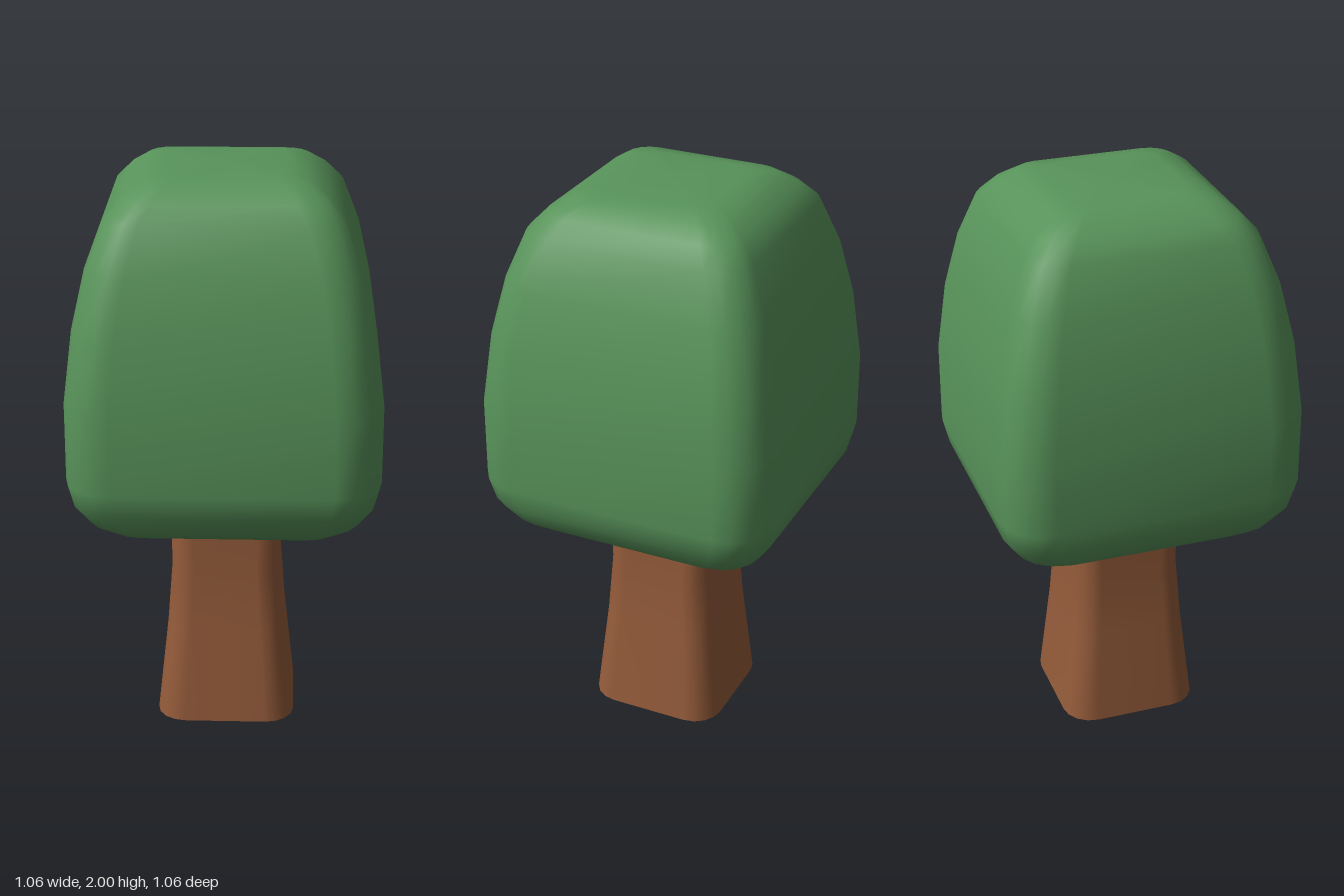
import * as THREE from 'three';

// Outline of a rounded square with half width 1, counter-clockwise seen from above
function roundedSquare(radius, steps) {
  const points = [];
  for (let corner = 0; corner < 4; corner++) {
    const mid = Math.PI / 4 + corner * Math.PI / 2;
    const cx = Math.sign(Math.cos(mid)) * (1 - radius);
    const cz = Math.sign(Math.sin(mid)) * (1 - radius);
    for (let i = 0; i <= steps; i++) {
      const a = corner * Math.PI / 2 + (i / steps) * Math.PI / 2;
      points.push([cx + radius * Math.cos(a), cz + radius * Math.sin(a)]);
    }
  }
  return points;
}

// Smooth loft through [half width, y] levels, optionally closed at both ends
function loft(levels, outline, caps) {
  const pos = [], index = [], n = outline.length;
  for (const [h, y] of levels) {
    for (const [x, z] of outline) pos.push(x * h, y, z * h);
  }
  for (let r = 0; r < levels.length - 1; r++) {
    for (let i = 0; i < n; i++) {
      const a = r * n + i, b = r * n + (i + 1) % n;
      index.push(a, a + n, b, b, a + n, b + n);
    }
  }
  if (caps) {
    const last = levels.length - 1, bottom = pos.length / 3, top = bottom + 1;
    pos.push(0, levels[0][1], 0, 0, levels[last][1], 0);
    for (let i = 0; i < n; i++) {
      const j = (i + 1) % n;
      index.push(bottom, i, j, top, last * n + j, last * n + i);
    }
  }
  const g = new THREE.BufferGeometry();
  g.setAttribute('position', new THREE.Float32BufferAttribute(pos, 3));
  g.setIndex(index);
  g.computeVertexNormals();
  return g;
}

export function createModel() {
  const leafGreen = new THREE.MeshStandardMaterial({ color: 0x58935a });
  leafGreen.name = 'leafGreen';
  const barkBrown = new THREE.MeshStandardMaterial({ color: 0x945b3a });
  barkBrown.name = 'barkBrown';

  const tree = new THREE.Group();
  tree.name = 'tree';
  const add = (name, geometry, material) => {
    const mesh = new THREE.Mesh(geometry, material);
    mesh.name = name;
    tree.add(mesh);
    return mesh;
  };

  // Crown: boxy, rounded, narrowing to a flat top
  const crownLevels = [
    [0.33, 0.78], [0.40, 0.795], [0.46, 0.84], [0.51, 0.915], [0.53, 1.0],
    [0.53, 1.27], [0.50, 1.52], [0.455, 1.72], [0.395, 1.88],
    [0.34, 1.94], [0.275, 1.985], [0.2, 2.0],
  ];
  add('crown', loft(crownLevels, roundedSquare(0.3, 4), true), leafGreen);

  // Trunk: flares toward the ground and runs up into the crown
  const trunkOutline = roundedSquare(0.42, 4);
  const trunkLevels = [[0.245, 0], [0.208, 0.35], [0.192, 0.57], [0.195, 0.82]];
  add('trunk', loft(trunkLevels, trunkOutline, false), barkBrown);

  // Flat underside of the trunk
  const base = new THREE.Shape(trunkOutline.map(([x, z]) => new THREE.Vector2(x * 0.245, z * 0.245)));
  add('trunkBase', new THREE.ShapeGeometry(base), barkBrown).rotation.x = Math.PI / 2;

  return tree;
}
